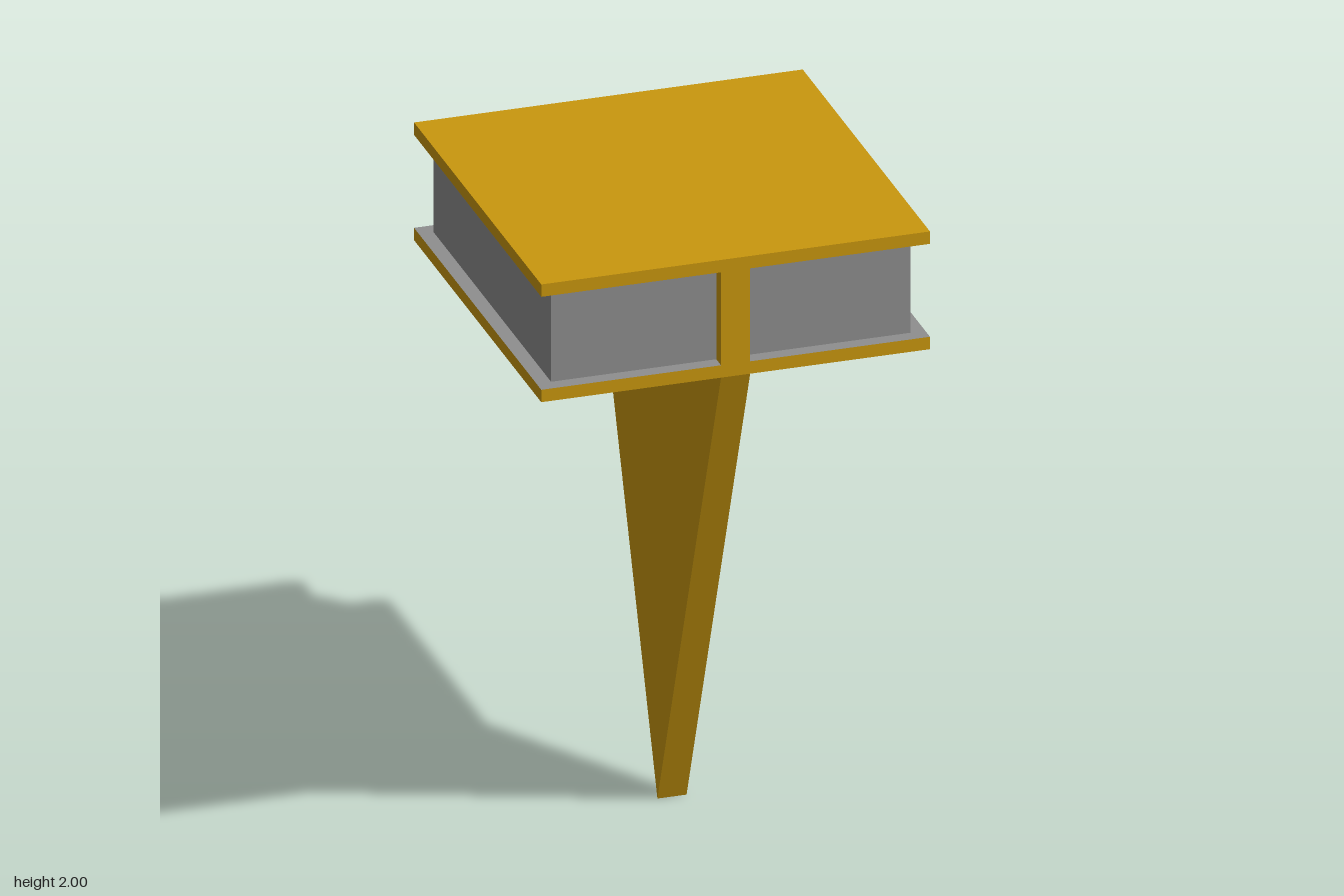
import * as THREE from 'three';

export function createModel() {
  const model = new THREE.Group();
  const gold = new THREE.MeshStandardMaterial({ color: 0xc9970e });
  gold.name = 'gold';
  const grey = new THREE.MeshStandardMaterial({ color: 0x8e8e8e });
  grey.name = 'grey';

  const half = 0.6;       // half side of the square plates
  const web = 0.045;      // half thickness of the central web and stake
  const inset = 0.555;    // outer limit of the grey blocks
  const [y0, y1, y2, y3] = [1.62, 1.66, 1.96, 2]; // plate levels

  function box(name, x0, x1, bottom, top, halfZ, material) {
    const mesh = new THREE.Mesh(new THREE.BoxGeometry(x1 - x0, top - bottom, halfZ * 2), material);
    mesh.position.set((x0 + x1) / 2, (bottom + top) / 2, 0);
    mesh.name = name;
    model.add(mesh);
  }

  // Plates, gold outside with grey inner faces (material order: +x -x +y -y +z -z)
  box('topPlate', -half, half, y2, y3, half, [gold, gold, gold, grey, gold, gold]);
  box('bottomPlate', -half, half, y0, y1, half, [gold, gold, grey, gold, gold, gold]);

  // Web joining the plates
  box('centralWeb', -web, web, y1, y2, half, gold);

  // Grey blocks filling both sides of the web
  box('leftBlock', web, inset, y1, y2, inset, grey);
  box('rightBlock', -inset, -web, y1, y2, inset, grey);

  // Tapering stake, a triangle extruded across x
  const triangle = new THREE.Shape([
    new THREE.Vector2(0, 0),
    new THREE.Vector2(half, y0),
    new THREE.Vector2(-half, y0),
  ]);
  const stakeGeometry = new THREE.ExtrudeGeometry(triangle, { depth: web * 2, bevelEnabled: false });
  stakeGeometry.translate(0, 0, -web).rotateY(Math.PI / 2);
  const stake = new THREE.Mesh(stakeGeometry, gold);
  stake.name = 'stake';
  model.add(stake);

  return model;
}
